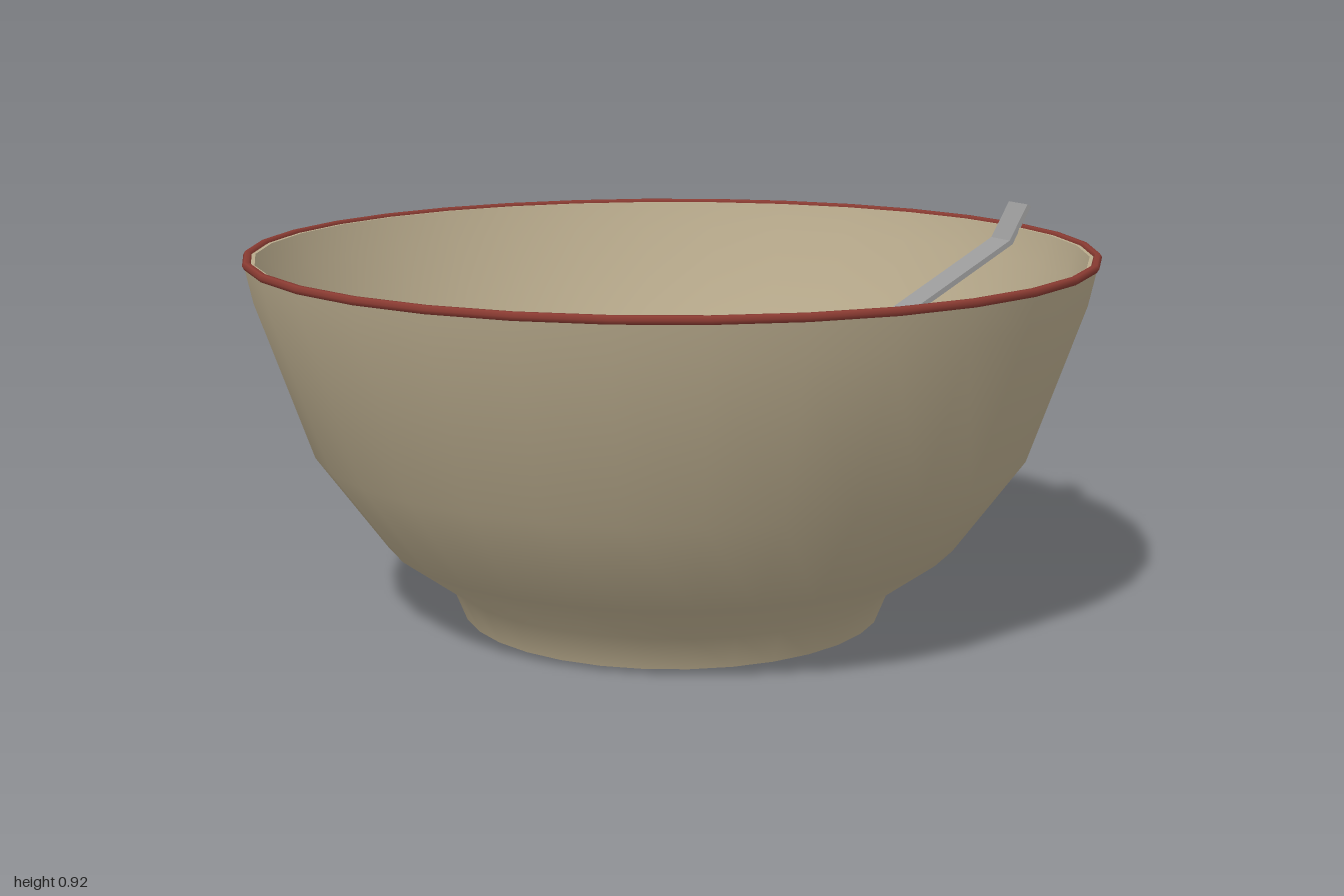
import * as THREE from 'three';
import { toCreasedNormals } from 'three/addons/utils/BufferGeometryUtils.js';

const paint = (color) => new THREE.MeshStandardMaterial({ color });

export function createModel() {
  const model = new THREE.Group();
  const add = (name, geometry, material, x = 0, y = 0, z = 0) => {
    const mesh = new THREE.Mesh(geometry, material);
    mesh.name = name;
    mesh.position.set(x, y, z);
    model.add(mesh);
    return mesh;
  };

  const clay = paint(0xb8aa8c);
  const red = paint(0x8a3b32);
  const cream = paint(0xd2cdbd);
  const brown = paint(0x7a5646);
  const dark = paint(0x2e2e30);
  const black = paint(0x222222);
  const metal = paint(0x9a9a9a);
  const level = 0.52; // height of the liquid

  // Bowl: recessed foot, outer wall, lip and inner wall in one profile
  const profile = [
    [0, 0.05], [0.44, 0.05], [0.44, 0], [0.503, 0], [0.535, 0.08],
    [0.685, 0.19], [0.848, 0.415], [0.974, 0.78], [0.992, 0.865],
    [0.968, 0.865], [0.945, 0.79], [0.82, 0.505], [0.65, 0.24], [0.5, 0.13], [0, 0.11],
  ].map(([r, y]) => new THREE.Vector2(r, y));
  add('bowl', toCreasedNormals(new THREE.LatheGeometry(profile, 32), 0.7), clay);

  // Coloured band around the lip
  const band = new THREE.TorusGeometry(0.986, 0.01, 6, 32);
  band.rotateX(Math.PI / 2);
  add('rimBand', band, red, 0, 0.864, 0);

  // Liquid surface
  const surface = new THREE.CircleGeometry(0.822, 28);
  surface.rotateX(-Math.PI / 2);
  add('liquid', surface, cream, 0, level, 0);

  // Large round berries, half sunk
  const berry = new THREE.SphereGeometry(0.1, 12, 6);
  for (const [x, z] of [[-0.45, -0.34], [0.375, -0.14], [0.135, 0.4]]) {
    add('berry', berry, black, x, level, z);
  }

  // Small floating pieces: blunt pebbles lying on their long axis
  const pebble = new THREE.SphereGeometry(1, 8, 5);
  pebble.rotateZ(Math.PI / 2);
  const scatter = (name, material, list) => {
    for (const [x, z, degrees] of list) {
      const piece = add(name, pebble, material, x, level + 0.004, z);
      piece.scale.set(0.064, 0.032, 0.052);
      piece.rotation.y = THREE.MathUtils.degToRad(degrees);
    }
  };
  scatter('darkPiece', dark, [
    [-0.085, -0.69, -12], [0.245, -0.54, -72], [0.38, -0.25, 40], [0.11, 0, 0],
  ]);
  scatter('brownPiece', brown, [
    [-0.55, -0.325, 70], [-0.235, -0.455, -35], [0.025, -0.335, -5], [-0.41, -0.075, 0],
    [0.637, -0.145, 78], [-0.52, 0.21, 70], [-0.195, 0.175, 45], [0.5, 0.18, 20],
    [0.22, 0.29, -35], [-0.125, 0.46, -82], [-0.39, 0.55, -65], [0.18, 0.575, -5],
  ]);

  // Spoon handle: thin bent strip rising from the liquid over the lip
  const strip = new THREE.Shape([
    [0.2, 0.42], [0.945, 0.825], [0.998, 0.918], [0.987, 0.924], [0.936, 0.835], [0.195, 0.432],
  ].map(([x, y]) => new THREE.Vector2(x, y)));
  const handle = new THREE.ExtrudeGeometry(strip, { depth: 0.08, bevelEnabled: false });
  add('spoonHandle', handle, metal, 0, 0, -0.04);

  return model;
}
